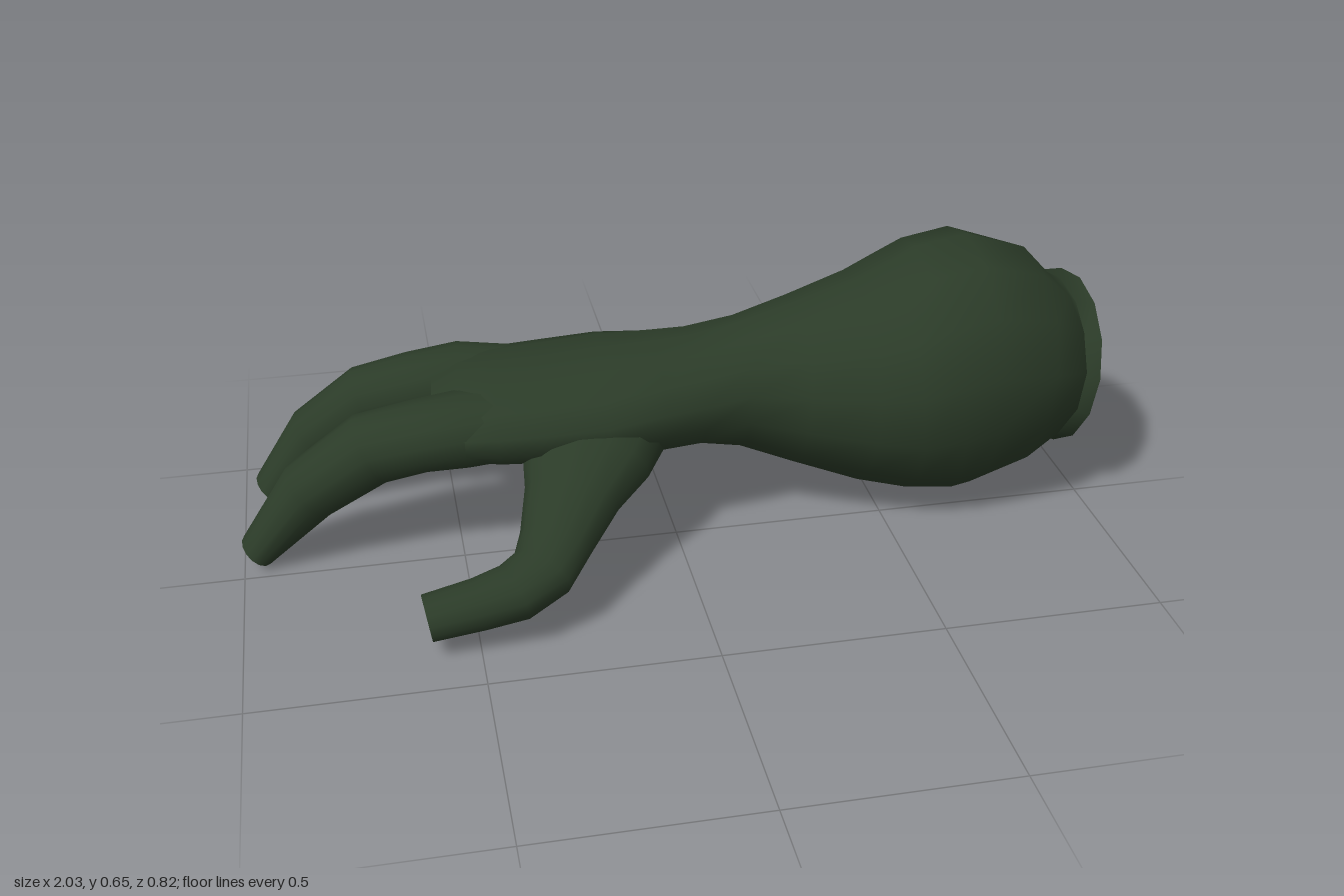
import * as THREE from 'three';
import { toCreasedNormals } from 'three/addons/utils/BufferGeometryUtils.js';

const SIDES = 14;
const skin = new THREE.MeshStandardMaterial({ color: 0x2b3b28, side: THREE.DoubleSide });

// Lofts ellipses along a path; each section is [x, y, z, half height, half width].
function loft(name, sections) {
  const centres = sections.map(s => new THREE.Vector3(s[0], s[1], s[2]));
  const up = new THREE.Vector3(0, 1, 0);
  const pos = [], index = [];
  sections.forEach((s, i) => {
    const before = centres[Math.max(i - 1, 0)];
    const after = centres[Math.min(i + 1, centres.length - 1)];
    const t = after.clone().sub(before).normalize();
    const v = t.clone().cross(up).normalize();
    const u = v.clone().cross(t);
    for (let j = 0; j < SIDES; j++) {
      const a = (j / SIDES) * Math.PI * 2;
      const p = centres[i].clone()
        .addScaledVector(u, s[3] * Math.cos(a))
        .addScaledVector(v, s[4] * Math.sin(a));
      pos.push(p.x, p.y, p.z);
    }
  });
  for (let i = 0; i < sections.length - 1; i++) {
    for (let j = 0; j < SIDES; j++) {
      const k = (j + 1) % SIDES;
      const a = i * SIDES + j, b = i * SIDES + k;
      index.push(a, b, a + SIDES, b, b + SIDES, a + SIDES);
    }
  }
  // flat cap on the far end
  const last = (sections.length - 1) * SIDES;
  const tip = centres[centres.length - 1];
  pos.push(tip.x, tip.y, tip.z);
  for (let j = 0; j < SIDES; j++) index.push(last + SIDES, last + j, last + (j + 1) % SIDES);

  const g = new THREE.BufferGeometry();
  g.setAttribute('position', new THREE.Float32BufferAttribute(pos, 3));
  g.setIndex(index);
  const mesh = new THREE.Mesh(toCreasedNormals(g, 1.0), skin);
  mesh.name = name;
  return mesh;
}

export function createModel() {
  const group = new THREE.Group();
  group.name = 'forearmWithHand';

  // hollow forearm, open at the elbow, running into wrist and palm
  group.add(loft('forearmAndPalm', [
    [0.99, 0.303, -0.16, 0.205, 0.24],
    [0.94, 0.312, -0.16, 0.198, 0.226],
    [0.91, 0.318, -0.155, 0.21, 0.232],
    [0.83, 0.33, -0.135, 0.28, 0.262],
    [0.72, 0.343, -0.128, 0.316, 0.284],
    [0.64, 0.328, -0.128, 0.312, 0.287],
    [0.55, 0.317, -0.13, 0.284, 0.287],
    [0.45, 0.315, -0.13, 0.25, 0.255],
    [0.3, 0.322, -0.13, 0.197, 0.205],
    [0.17, 0.33, -0.128, 0.153, 0.16],
    [0.06, 0.332, -0.125, 0.127, 0.18],
    [-0.02, 0.33, -0.125, 0.125, 0.195],
    [-0.15, 0.323, -0.135, 0.12, 0.232],
    [-0.3, 0.317, -0.148, 0.107, 0.23],
    [-0.4, 0.315, -0.152, 0.1, 0.225],
    [-0.48, 0.313, -0.158, 0.085, 0.212],
    [-0.54, 0.31, -0.162, 0.055, 0.18],
  ]));

  // two curved fingers
  group.add(loft('outerFinger', [
    [-0.3, 0.318, -0.262, 0.075, 0.085],
    [-0.47, 0.324, -0.28, 0.086, 0.097],
    [-0.58, 0.312, -0.283, 0.08, 0.095],
    [-0.69, 0.285, -0.295, 0.08, 0.087],
    [-0.82, 0.195, -0.305, 0.071, 0.076],
    [-0.935, 0.062, -0.308, 0.042, 0.06],
  ]));
  group.add(loft('innerFinger', [
    [-0.3, 0.315, -0.05, 0.075, 0.09],
    [-0.48, 0.313, -0.052, 0.086, 0.105],
    [-0.58, 0.303, -0.056, 0.08, 0.101],
    [-0.695, 0.28, -0.06, 0.084, 0.09],
    [-0.84, 0.183, -0.068, 0.074, 0.077],
    [-0.97, 0.034, -0.075, 0.042, 0.058],
  ]));

  // thumb, reaching out sideways and then bending forward
  group.add(loft('thumb', [
    [-0.17, 0.285, -0.06, 0.1, 0.17],
    [-0.22, 0.25, 0.05, 0.09, 0.15],
    [-0.265, 0.215, 0.14, 0.072, 0.11],
    [-0.315, 0.17, 0.24, 0.062, 0.084],
    [-0.355, 0.14, 0.305, 0.06, 0.078],
    [-0.42, 0.118, 0.338, 0.06, 0.074],
    [-0.5, 0.104, 0.348, 0.056, 0.064],
    [-0.61, 0.088, 0.355, 0.051, 0.057],
  ]));
  return group;
}
